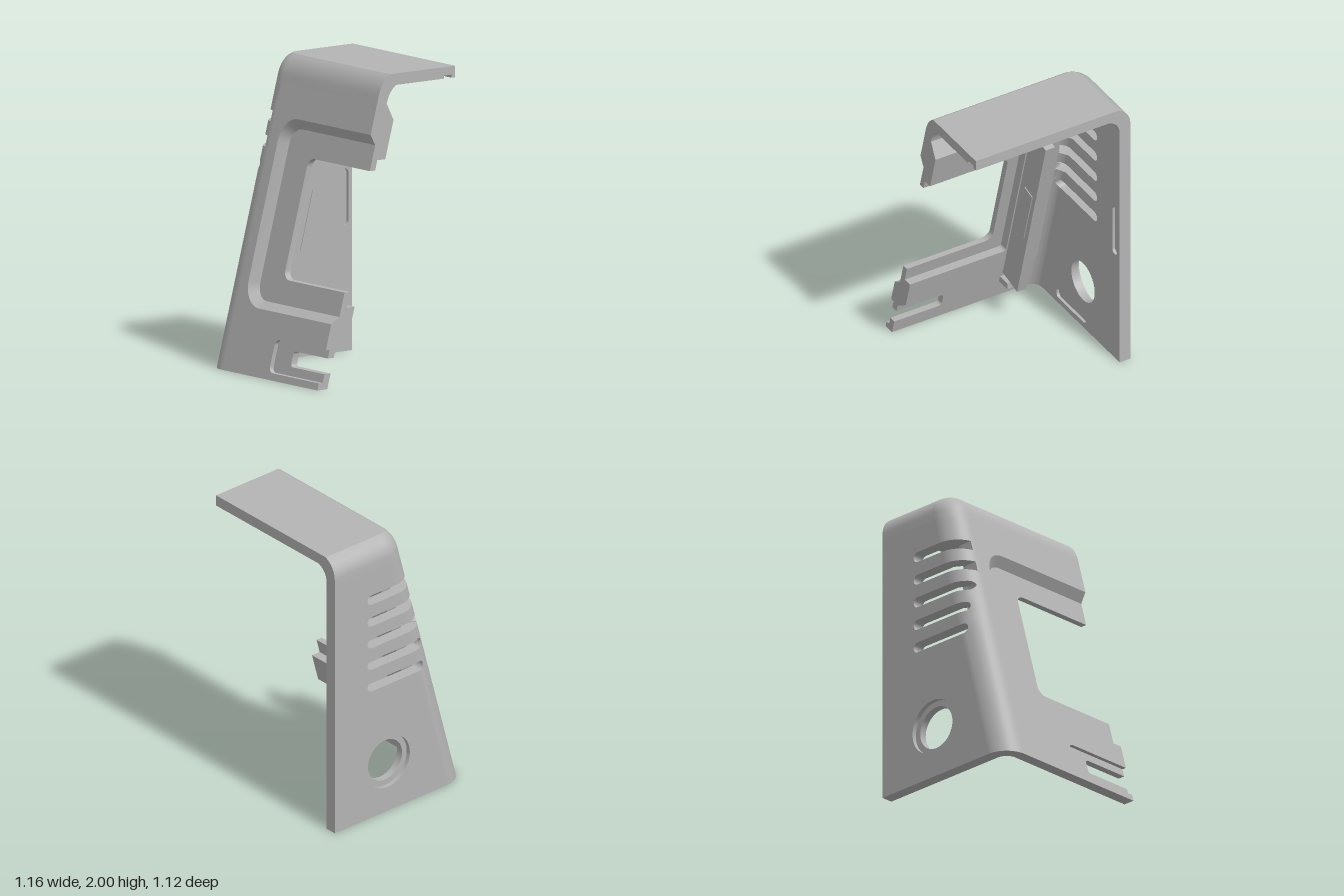
import * as THREE from 'three';
import { toCreasedNormals } from 'three/addons/utils/BufferGeometryUtils.js';

const XR = 0.58, XL = -0.58, ZB = -0.56, WALL = 0.08, R = 0.16, YT = 1.82;
const frontZ = (y) => 0.56 - 0.267 * y;      // sloping outer front plane
const seamZ = (y) => frontZ(y) - R;          // where the side wall meets the corner
const V2 = (x, y) => new THREE.Vector2(x, y);
const V3 = (x, y, z) => new THREE.Vector3(x, y, z);
const SLOTS = [0.965, 1.125, 1.285, 1.445, 1.605], SLOT_R = 0.035;

// Arc points in 2D from angle a to b
function arc(cx, cy, r, a, b, n = 8) {
  return Array.from({ length: n + 1 }, (_, i) => {
    const t = a + (b - a) * i / n;
    return V2(cx + r * Math.cos(t), cy + r * Math.sin(t));
  });
}

// U outline open to the right: bottom right, rounded left corners, top right
function uLine(x0, y0, y1, r) {
  const P = Math.PI;
  return [V2(XR, y0), ...arc(x0 + r, y0 + r, r, -P / 2, -P), ...arc(x0 + r, y1 - r, r, P, P / 2), V2(XR, y1)];
}

// U outline with notches (listed top to bottom) cut in from the right
const notched = (outer, ...notches) => [...outer, ...notches.flatMap((n) => [...n].reverse())];

function roundRect(x0, x1, y0, y1, r) {
  const P = Math.PI;
  return [...arc(x1 - r, y0 + r, r, -P / 2, 0), ...arc(x1 - r, y1 - r, r, 0, P / 2),
    ...arc(x0 + r, y1 - r, r, P / 2, P), ...arc(x0 + r, y0 + r, r, P, P * 1.5)];
}

function extrude(points, depth, holes = []) {
  const shape = new THREE.Shape(points);
  shape.holes = holes.map((h) => new THREE.Path(h));
  return new THREE.ExtrudeGeometry(shape, { depth, bevelEnabled: false });
}

// Sheet parallel to the front, between two depths behind it
function frontSlab(points, d0, d1) {
  const g = extrude(points, d1 - d0);
  const p = g.attributes.position;
  for (let i = 0; i < p.count; i++) p.setZ(i, p.getZ(i) - d1 + frontZ(p.getY(i)));
  return g;
}

// Sheet in the z-y plane between x0 and x1
const sideSlab = (points, x0, x1, holes) =>
  extrude(points, x1 - x0, holes).rotateY(-Math.PI / 2).translate(x1, 0, 0);

// Horizontal sheet from (x, z) points between y0 and y1
const flatSlab = (points, y0, y1) =>
  extrude(points.map((p) => V2(p.x, -p.y)), y1 - y0).rotateX(-Math.PI / 2).translate(0, y0, 0);

// Solid through a list of closed rings, with capped ends
function loft(rings) {
  const n = rings[0].length, pts = rings.flat(), tris = [];
  for (let j = 0; j < rings.length - 1; j++) for (let i = 0; i < n; i++) {
    const a = j * n + i, b = j * n + (i + 1) % n;
    tris.push([a, b, b + n], [a, b + n, a + n]);
  }
  const last = (rings.length - 1) * n;
  for (let i = 0; i < n / 2 - 1; i++) {
    const [a, b, c, d] = [i, i + 1, n - 2 - i, n - 1 - i];
    tris.push([b, a, d], [c, b, d], [a + last, b + last, d + last], [b + last, c + last, d + last]);
  }
  let volume = 0;
  const cr = V3(0, 0, 0);
  for (const [a, b, c] of tris) volume += cr.crossVectors(pts[a], pts[b]).dot(pts[c]);
  const out = [];
  for (const [a, b, c] of tris) {
    if (cr.subVectors(pts[b], pts[a]).cross(V3(0, 0, 0).subVectors(pts[c], pts[a])).length() < 1e-10) continue;
    for (const k of volume < 0 ? [a, c, b] : [a, b, c]) out.push(...pts[k].toArray());
  }
  const g = new THREE.BufferGeometry();
  g.setAttribute('position', new THREE.Float32BufferAttribute(out, 3));
  return g;
}

// Bevel strip between outline a at depth da and outline b at depth db
function bevel(a, da, b, db, backDepth) {
  const at = (p, d) => V3(p.x, p.y, frontZ(p.y) - d);
  return loft(a.map((p, i) => backDepth === da
    ? [at(p, da), at(b[i], db), at(b[i], da)]
    : [at(p, da), at(b[i], db), at(p, db)]));
}

// Rounded vertical corner, with the vent slots wrapping into it
function cornerGeometry() {
  const N = 14;
  const ring = (y, end) => {
    const cz = seamZ(y);
    const line = (r) => {
      let t0 = 0;
      if (end !== null) t0 = Math.min(Math.acos(0.04 / r), Math.asin(Math.max(0, Math.min(1, (end - cz) / r))));
      return Array.from({ length: N + 1 }, (_, i) => {
        const t = t0 + (Math.PI / 2 - t0) * i / N;
        return V3(XL + R - r * Math.cos(t), y, cz + r * Math.sin(t));
      });
    };
    return [...line(R), ...line(R - WALL).reverse()];
  };
  const rings = [ring(0, null)];
  for (const yc of SLOTS) {
    rings.push(ring(yc - SLOT_R, null));
    for (let i = 0; i <= 8; i++) {
      const a = Math.PI * (i / 8 - 0.5);
      rings.push(ring(yc + SLOT_R * Math.sin(a), 0.165 + SLOT_R * Math.cos(a)));
    }
    rings.push(ring(yc + SLOT_R, null));
  }
  rings.push(ring(YT, null));
  return loft(rings);
}

// Horizontal line round the wall: back, corner, right end
function wallLine(y, x0, zf, r) {
  return [V3(x0, y, ZB), ...arc(x0 + r, zf - r, r, Math.PI, Math.PI / 2, 12).map((p) => V3(p.x, y, p.y)), V3(XR, y, zf)];
}

export function createModel() {
  const model = new THREE.Group();
  const grey = new THREE.MeshStandardMaterial({ color: 0xb4b4b4 });
  grey.name = 'grey plastic';
  const add = (name, geometry) => {
    const mesh = new THREE.Mesh(toCreasedNormals(geometry, 0.5), grey);
    mesh.name = name;
    model.add(mesh);
  };

  // Front panel with the screen recess and the lower port recess
  const recess = uLine(-0.34, 0.42, 1.62, 0.16), recessFloor = uLine(-0.285, 0.46, 1.55, 0.105);
  const window_ = uLine(-0.06, 0.615, 1.385, 0.06), pocket = uLine(-0.14, 0.515, 1.45, 0.02);
  const port = uLine(0.055, 0.045, 0.255, 0.04), portSlot = uLine(0.225, 0.1, 0.2, 0.025);
  const panel = [V2(XR, 0), V2(XL + R, 0), V2(XL + R, YT), V2(XR, YT)];
  add('frontPanel', frontSlab(notched(panel, recess, port), 0, WALL));
  add('recessBevel', bevel(recess, 0, recessFloor, 0.056, 0.056));
  add('recessFloor', frontSlab(notched(recess, window_), 0.056, 0.1));
  add('portFloor', frontSlab(notched(port, portSlot), 0.03, WALL));

  // Thick frame behind the screen
  const frameFoot = uLine(-0.46, 0.25, 1.81, 0.1), frameTop = uLine(-0.4, 0.32, 1.7, 0.05);
  add('frameBevel', bevel(frameFoot, WALL, frameTop, 0.165, WALL));
  add('screenFrame', frontSlab(notched(frameTop, pocket), WALL, 0.165));

  // Rib along the screen, with a shallow pad
  add('screenRib', sideSlab([V2(-0.045, 1.645), V2(-0.22, 1.6), V2(0.135, 0.26), V2(0.32, 0.305)], -0.22, -0.15));
  add('ribPad', sideSlab([V2(0.035, 1.155), V2(-0.06, 1.13), V2(0.045, 0.745), V2(0.135, 0.77)], -0.15, -0.144));
  add('innerTab', new THREE.BoxGeometry(0.15, 0.045, 0.13).translate(-0.275, 0.158, 0.405));

  // Side wall in three layers: countersunk hole outside, shallow grooves inside
  const side = [V2(ZB, 0), V2(seamZ(0), 0)];
  for (const y of SLOTS) {
    side.push(V2(seamZ(y - SLOT_R), y - SLOT_R),
      ...arc(-0.245, y, SLOT_R, -Math.PI / 2, -Math.PI * 1.5, 12), V2(seamZ(y + SLOT_R), y + SLOT_R));
  }
  side.push(V2(seamZ(YT), YT), V2(ZB, YT));
  const hole = (r) => arc(-0.105, 0.36, r, 0, Math.PI * 2, 48).slice(0, -1);
  const grooves = [roundRect(-0.53, -0.468, 0.82, 1.19, 0.03), roundRect(-0.14, 0.225, 0.04, 0.11, 0.03)];
  add('sideWallOuter', sideSlab(side, XL, XL + 0.03, [hole(0.185)]));
  add('sideWallMiddle', sideSlab(side, XL + 0.03, XL + 0.06, [hole(0.145)]));
  add('sideWallInner', sideSlab(side, XL + 0.06, XL + WALL, [hole(0.145), ...grooves]));

  add('frontCorner', cornerGeometry());

  // Rounded rim between the walls and the top
  const lines = [wallLine(YT, XL, frontZ(YT), R)];
  for (let k = 0; k <= 7; k++) {
    const h = 0.13 * k / 7, e = 0.14 - Math.sqrt(0.14 ** 2 - h * h), y = 1.87 + h;
    lines.push(wallLine(y, XL + e, frontZ(y) - 0.65 * e, R - e));
  }
  const inner = [];
  for (let k = 0; k <= 9; k++) {
    const h = 0.105 * k / 9, e = 0.11 - Math.sqrt(0.11 ** 2 - h * h), y = YT + h;
    inner.push(wallLine(y, XL + WALL + e, frontZ(y) - WALL - 0.65 * e, R - WALL - e));
  }
  const ceiling = inner[9];
  lines.push(ceiling.map((p) => V3(p.x, 2, p.z)), ...inner.reverse());
  add('topRim', loft(ceiling.map((_, u) => lines.map((l) => l[u]))));

  // Top plate, with a short groove underneath at the open end
  const top = ceiling.map((p) => V2(p.x, p.z));
  const corner = V2(XR, ZB);
  add('topPlate', flatSlab([...top, corner], 1.945, 2));
  const groove = [V2(XR, -0.47), ...arc(0.41, -0.5, 0.03, Math.PI / 2, Math.PI * 1.5), V2(XR, -0.53)];
  add('topPlateUnderside', flatSlab([...top, ...groove, corner], 1.925, 1.945));

  return model;
}
